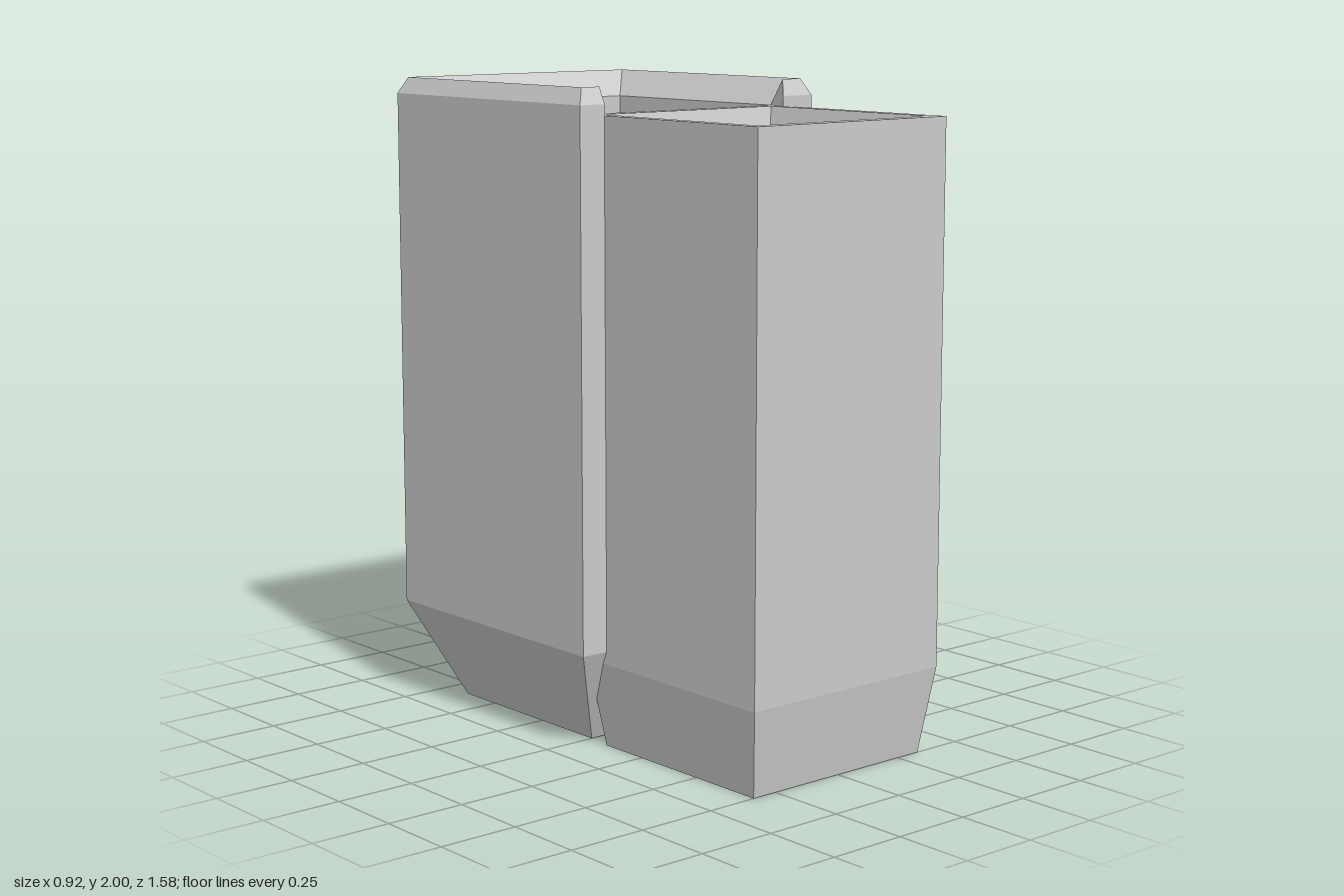
import * as THREE from 'three';

const material = new THREE.MeshStandardMaterial({ color: 0xcccccc, flatShading: true });

// Rectangular section, counterclockwise seen from above
const rect = (x, z0, z1, y) => [[-x, y, z1], [x, y, z1], [x, y, z0], [-x, y, z0]];

// Skin stacked rows of points, then add flat polygon caps
function skin(name, rows, closed, caps = []) {
  const pos = [];
  const tri = (...pts) => pts.forEach((p) => pos.push(...p));
  for (let r = 0; r < rows.length - 1; r++) {
    const a = rows[r], b = rows[r + 1], n = a.length;
    for (let i = 0; i < (closed ? n : n - 1); i++) {
      const j = (i + 1) % n;
      tri(a[i], a[j], b[j]);
      tri(a[i], b[j], b[i]);
    }
  }
  for (const c of caps) {
    for (let i = 1; i < c.length - 1; i++) tri(c[0], c[i], c[i + 1]);
  }
  const geo = new THREE.BufferGeometry();
  geo.setAttribute('position', new THREE.Float32BufferAttribute(pos, 3));
  geo.computeVertexNormals();
  const mesh = new THREE.Mesh(geo, material);
  mesh.name = name;
  return mesh;
}

export function createModel() {
  const group = new THREE.Group();
  group.name = 'twinContainer';

  // Front container: tapered foot, straight walls, flat lip and sloped recess
  const front = [
    rect(0.335, 0.085, 0.75, 0),
    rect(0.37, 0.04, 0.79, 0.27),
    rect(0.37, 0.04, 0.79, 1.917),
    rect(0.335, 0.08, 0.748, 1.917),
    rect(0.29, 0.125, 0.7, 1.76),
  ];
  group.add(skin('frontContainer', front, true, [[...front[0]].reverse(), front[4]]));

  // Rear container: strongly tapered foot and straight walls
  const rear = [
    rect(0.325, -0.645, 0, 0),
    rect(0.46, -0.79, 0.13, 0.31),
    rect(0.46, -0.79, 0.13, 1.7),
  ];
  group.add(skin('rearContainer', rear, true, [[...rear[0]].reverse()]));

  // Rear rim: bevelled band around three sides, ending in short front stubs
  const rimRow = (x, z0, z1, y, endX) => [
    [endX, y, z1], [x, y, z1], [x, y, z0], [-x, y, z0], [-x, y, z1], [-0.368, y, z1],
  ];
  const rim = [
    rimRow(0.46, -0.79, 0.13, 1.7, 0.34),
    rimRow(0.46, -0.79, 0.13, 1.95, 0.34),
    rimRow(0.435, -0.765, 0.105, 2, 0.36),
    rimRow(0.372, -0.7, 0.04, 1.917, 0.37),
    rimRow(0.372, -0.7, 0.04, 1.76, 0.37),
  ];
  const rightEnd = rim.map((row) => row[0]);
  const leftEnd = rim.map((row) => row[5]).reverse();
  group.add(skin('rearRim', rim, false, [rightEnd, leftEnd]));

  // Floor of the rear recess
  group.add(skin('rearRecessFloor', [], true, [rect(0.372, -0.7, 0.04, 1.76)]));

  return group;
}
